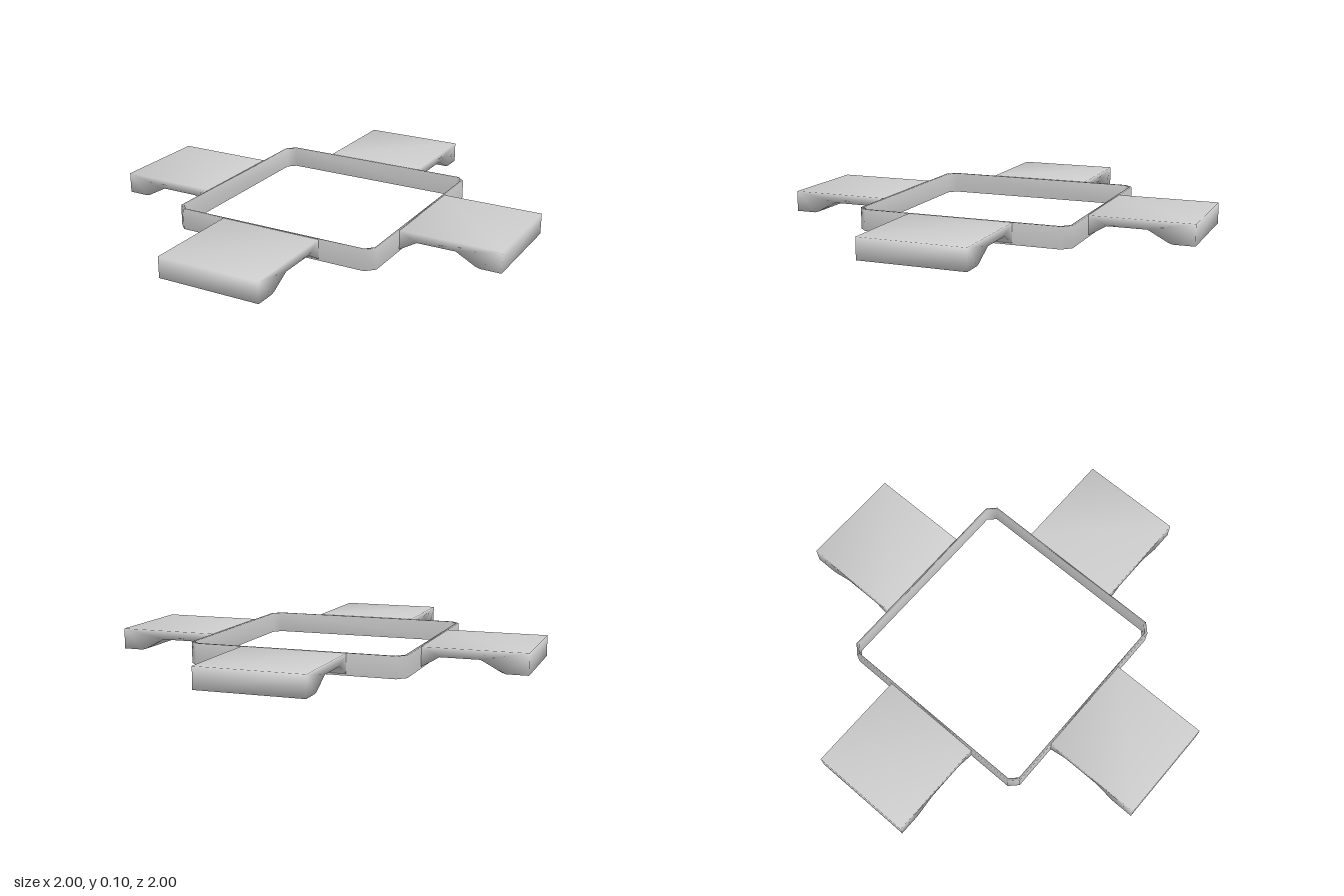
import * as THREE from 'three';
import { mergeVertices } from 'three/addons/utils/BufferGeometryUtils.js';

const HEIGHT = 0.1;

// Weld shared corners so the shading rolls softly over every edge
function soften(geometry) {
  geometry.deleteAttribute('normal');
  geometry.deleteAttribute('uv');
  const welded = mergeVertices(geometry, 1e-4);
  welded.computeVertexNormals();
  return welded;
}

// Corner points of a square with cut corners
function cutSquare(half, cut) {
  const a = half, b = half - cut;
  return [[b, -a], [a, -b], [a, b], [b, a], [-b, a], [-a, b], [-a, -b], [-b, -a]]
    .map(([x, y]) => new THREE.Vector2(x, y));
}

export function createModel() {
  const model = new THREE.Group();
  model.name = 'crossFrame';
  const material = new THREE.MeshStandardMaterial({ color: 0xcccccc });

  // Thin square rim, open in the middle
  const outline = new THREE.Shape(cutSquare(0.515, 0.04));
  outline.holes.push(new THREE.Path(cutSquare(0.503, 0.035).reverse()));
  const rimGeometry = new THREE.ExtrudeGeometry(outline, { depth: HEIGHT, bevelEnabled: false });
  rimGeometry.rotateX(-Math.PI / 2);
  const rim = new THREE.Mesh(soften(rimGeometry), material);
  rim.name = 'rim';
  model.add(rim);

  // Arm side profile: flat on top, arched underneath, with a thick foot at the end
  const profile = new THREE.Shape([
    [0.513, 0.007], [0.6, 0.057], [0.785, 0.057], [0.88, 0.006], [0.9, 0],
    [1, 0], [1, HEIGHT], [0.513, HEIGHT],
  ].map(([x, y]) => new THREE.Vector2(x, y)));
  const armGeometry = new THREE.ExtrudeGeometry(profile, { depth: 0.5, bevelEnabled: false });
  armGeometry.translate(0, 0, -0.25);
  const armShape = soften(armGeometry);

  // Four arms, one on each side of the rim
  ['leftArm', 'backArm', 'rightArm', 'frontArm'].forEach((name, i) => {
    const arm = new THREE.Mesh(armShape, material);
    arm.name = name;
    arm.rotation.y = i * Math.PI / 2;
    model.add(arm);
  });

  return model;
}
